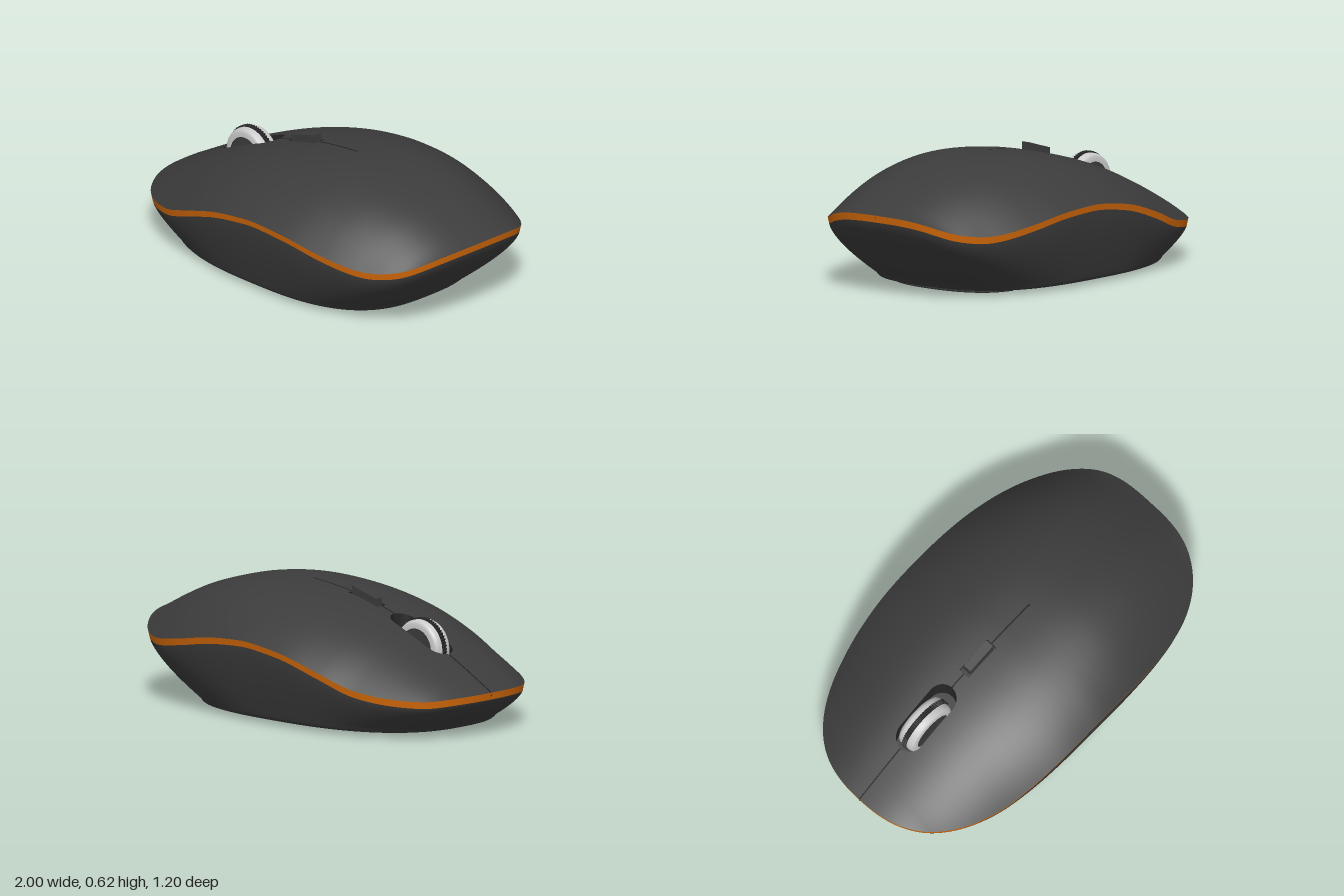
import * as THREE from 'three';
import { mergeGeometries, mergeVertices } from 'three/addons/utils/BufferGeometryUtils.js';

const dark = new THREE.MeshStandardMaterial({ color: 0x3c3c3c });
const black = new THREE.MeshStandardMaterial({ color: 0x262626 });
const orange = new THREE.MeshStandardMaterial({ color: 0xd96c0a });
const grey = new THREE.MeshStandardMaterial({ color: 0xcccccc });

// Smooth height curve through [x, y] points
function curve(pts) {
  const slope = (i) => {
    const a = pts[Math.max(i - 1, 0)], b = pts[Math.min(i + 1, pts.length - 1)];
    return (b[1] - a[1]) / (b[0] - a[0]);
  };
  return (x) => {
    let i = 0;
    while (i < pts.length - 2 && x > pts[i + 1][0]) i++;
    const [x0, y0] = pts[i], [x1, y1] = pts[i + 1], h = x1 - x0;
    const t = (x - x0) / h, t2 = t * t, t3 = t2 * t;
    return y0 * (2 * t3 - 3 * t2 + 1) + y1 * (3 * t2 - 2 * t3)
      + h * (slope(i) * (t3 - 2 * t2 + t) + slope(i + 1) * (t3 - t2));
  };
}

const rim = curve([[-1, 0.21], [-0.88, 0.197], [-0.6, 0.235], [-0.4, 0.305], [-0.2, 0.368], [0, 0.4],
  [0.1, 0.405], [0.3, 0.392], [0.5, 0.358], [0.7, 0.326], [0.8, 0.326], [0.9, 0.348], [1, 0.405]]);
const crown = curve([[-1, 0.21], [-0.8, 0.32], [-0.6, 0.418], [-0.4, 0.5], [-0.2, 0.56], [0, 0.6],
  [0.27, 0.622], [0.5, 0.602], [0.7, 0.55], [0.85, 0.485], [1, 0.405]]);

// Plan outline half-width
function halfWidth(x) {
  const n = x < 0 ? 2.5 : 2.9;
  return 0.6 * Math.pow(Math.max(0, 1 - Math.pow(Math.abs(x), n)), 1 / n);
}

function topY(x, z) {
  const w = halfWidth(x);
  const s = w > 1e-6 ? Math.min(1, Math.abs(z) / w) : 0;
  return rim(x) + (crown(x) - rim(x)) * (1 - Math.pow(s, 2.6));
}

// Openings along the centre line: wheel slot, button recess and seam
const SLOT = { x0: -0.717, x1: -0.364, r: 0.073 };
const BUTTON = { x0: -0.28, x1: -0.09, r: 0.03 };
const SEAM_END = 0.17;

function opening(x) {
  let e = x < SEAM_END ? 0.004 : 0;
  if (x > SLOT.x0 && x < SLOT.x1) {
    const d = Math.max(SLOT.x0 + SLOT.r - x, x - SLOT.x1 + SLOT.r, 0);
    e = Math.max(e, Math.sqrt(Math.max(0, SLOT.r ** 2 - d * d)));
  }
  if (x > BUTTON.x0 && x < BUTTON.x1) e = BUTTON.r;
  return Math.min(e, halfWidth(x));
}
const depth = (x) => (x > SLOT.x0 && x < SLOT.x1 ? 0.12 : 0.015);

// Stations along the length, refined around the openings
function stations() {
  const xs = [];
  for (let i = 0; i <= 160; i++) xs.push(-Math.cos((Math.PI * i) / 160));
  for (const x of [SLOT.x0, SLOT.x1, BUTTON.x0, BUTTON.x1, SEAM_END]) xs.push(x - 0.0005, x + 0.0005);
  for (let i = 1; i < 10; i++) {
    const d = SLOT.r * (1 - Math.cos((Math.PI * i) / 20));
    xs.push(SLOT.x0 + d, SLOT.x1 - d);
  }
  return xs.sort((a, b) => a - b);
}
const XS = stations();

// Surface through rows of points; it faces row direction x column direction
function loft(rows) {
  const n = rows[0].length, index = [];
  for (let r = 0; r < rows.length - 1; r++) {
    for (let c = 0; c < n - 1; c++) {
      const a = r * n + c, b = a + 1, d = a + n, e = d + 1;
      index.push(a, d, b, b, d, e);
    }
  }
  const g = new THREE.BufferGeometry();
  g.setAttribute('position', new THREE.Float32BufferAttribute(rows.flat(2), 3));
  g.setIndex(index);
  return g;
}

function smooth(...parts) {
  const g = mergeVertices(mergeGeometries(parts), 1e-5);
  g.computeVertexNormals();
  return g;
}

function add(parent, name, geometry, material, x = 0, y = 0, z = 0) {
  const m = new THREE.Mesh(geometry, material);
  m.name = name;
  m.position.set(x, y, z);
  parent.add(m);
  return m;
}

// Closed loop around the outline; f maps (x, z) to a point
function ring(f) {
  const there = XS.map((x) => f(x, halfWidth(x)));
  const back = [...XS].reverse().map((x) => f(x, -halfWidth(x)));
  return [...there, ...back, there[0]];
}

function addShell(g) {
  const tops = [], walls = [];
  for (const s of [1, -1]) {
    const rows = [];
    for (let j = 0; j <= 28; j++) {
      rows.push(XS.map((x) => {
        const e = opening(x), z = e + (halfWidth(x) - e) * (j / 28);
        return [x, topY(x, z), s * z];
      }));
    }
    const wall = [1, 0].map((k) => XS.map((x) => {
      const e = opening(x);
      return [x, topY(x, e) - k * depth(x), s * e];
    }));
    tops.push(loft(s > 0 ? rows : rows.reverse()));
    walls.push(loft(s > 0 ? wall : wall.reverse()));
  }
  add(g, 'topShell', smooth(...tops), dark);
  add(g, 'openingWalls', smooth(...walls), black);
  const floor = [-1, 1].map((s) => XS.map((x) => {
    const e = opening(x);
    return [x, topY(x, e) - depth(x) - (e ? 0 : 0.005), s * e];
  }));
  add(g, 'openingFloor', smooth(loft(floor)), black);
}

function addLowerBody(g) {
  const bandY = (x) => rim(x) - 0.03 - 0.005 * Math.abs(x);
  add(g, 'accentBand', smooth(loft([
    ring((x, z) => [x, rim(x), z]),
    ring((x, z) => [x * 0.993, bandY(x), z * 0.99]),
  ])), orange);

  // Sides curve in from the band to a smaller base outline
  const level = (t, y, inset) => ring((x, z) => {
    const k = Math.pow(t, 1.4);
    const bx = -0.08 + 0.755 * x * inset, bz = z * 0.865 * inset;
    return [
      THREE.MathUtils.lerp(x * 0.993, bx, k),
      y ?? THREE.MathUtils.lerp(bandY(x), 0.04, t),
      THREE.MathUtils.lerp(z * 0.99, bz, k),
    ];
  });
  const rows = [];
  for (let i = 0; i <= 16; i++) rows.push(level(i / 16, null, 1));
  rows.push(level(1, 0.03, 0.992), level(1, 0.023, 0.98), level(1, 0.02, 0.965));
  add(g, 'lowerBody', smooth(loft(rows)), dark);
  const edge = rows[rows.length - 1];
  add(g, 'base', smooth(loft([edge, edge.map(([x, y]) => [x, y, 0])])), dark);
}

function addWheel(g) {
  const wheel = new THREE.Group();
  wheel.name = 'scrollWheel';
  wheel.position.set(-0.55, 0.37, 0);
  g.add(wheel);
  // Rounded ring on both sides of the tread
  const profile = [[0.1, -0.05], [0.122, -0.05], [0.134, -0.043], [0.14, -0.03], [0.141, 0],
    [0.14, 0.03], [0.134, 0.043], [0.122, 0.05], [0.1, 0.05]].map(([r, y]) => new THREE.Vector2(r, y));
  add(wheel, 'wheelRing', new THREE.LatheGeometry(profile, 64).rotateX(Math.PI / 2), grey);
  add(wheel, 'wheelHub', new THREE.CylinderGeometry(0.102, 0.102, 0.084, 48).rotateX(Math.PI / 2), dark);
  // Ribbed tread
  const teeth = 60, pts = [];
  for (let i = 0; i < teeth * 4; i++) {
    const a = (i / (teeth * 4)) * Math.PI * 2, r = i % 4 < 2 ? 0.148 : 0.142;
    pts.push(new THREE.Vector2(r * Math.cos(a), r * Math.sin(a)));
  }
  add(wheel, 'wheelTread', new THREE.ExtrudeGeometry(new THREE.Shape(pts),
    { depth: 0.026, bevelEnabled: false }), black, 0, 0, -0.013);
}

// Flat pad under the base with a small rounded edge
function padGeometry(shape) {
  return new THREE.ExtrudeGeometry(shape, {
    depth: 0.02, bevelSize: 0.008, bevelThickness: 0.008, bevelOffset: -0.008, bevelSegments: 3, curveSegments: 32,
  }).rotateX(Math.PI / 2);
}

export function createModel() {
  const g = new THREE.Group();
  g.name = 'computerMouse';
  addShell(g);
  addLowerBody(g);
  addWheel(g);

  // Sloping button behind the wheel
  const side = new THREE.Shape([[-0.26, 0.52], [-0.105, 0.56], [-0.105, 0.62], [-0.26, 0.575]]
    .map(([x, y]) => new THREE.Vector2(x, y)));
  add(g, 'button', new THREE.ExtrudeGeometry(side, { depth: 0.044, bevelEnabled: false }), dark, 0, 0, -0.022);

  // Curved rear pad and two round front pads
  const rear = new THREE.Shape();
  rear.moveTo(0.39, -0.35);
  rear.bezierCurveTo(0.55, -0.33, 0.61, -0.2, 0.61, 0);
  rear.bezierCurveTo(0.61, 0.2, 0.55, 0.33, 0.39, 0.35);
  rear.closePath();
  add(g, 'rearPad', padGeometry(rear), dark, 0, 0.028, 0);
  for (const s of [1, -1]) {
    const disc = new THREE.Shape().absarc(0, 0, 0.066, 0, Math.PI * 2);
    add(g, 'frontPad', padGeometry(disc), dark, -0.565, 0.028, s * 0.2);
  }
  return g;
}
